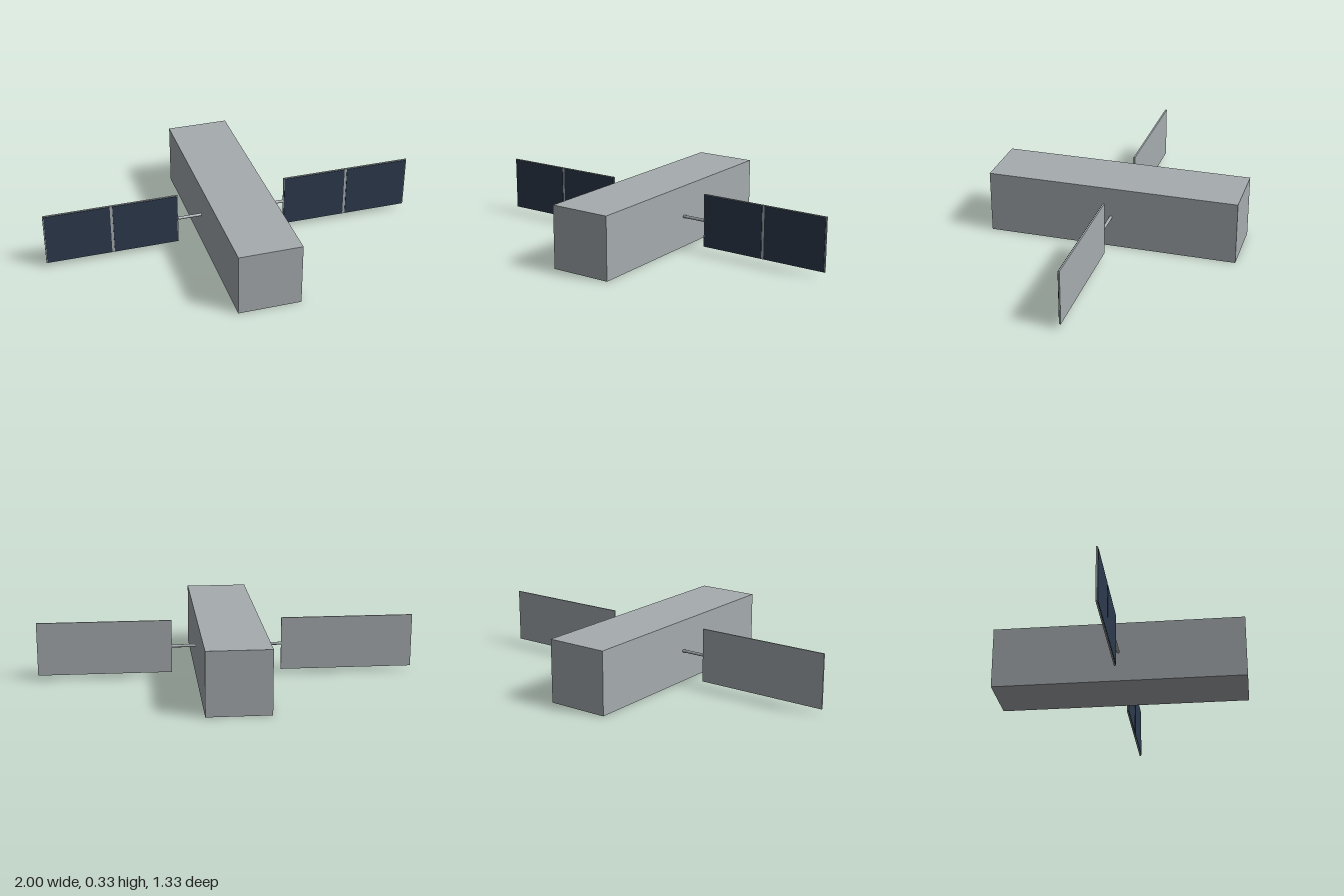
import * as THREE from 'three';

export function createModel() {
  const model = new THREE.Group();
  const hull = new THREE.MeshStandardMaterial({ color: 0xa6acaf });
  hull.name = 'hullGrey';
  const navy = new THREE.MeshStandardMaterial({ color: 0x2c3a4d });
  navy.name = 'cellNavy';

  const midY = 0.167;
  const add = (parent, name, geometry, material, x, y, z) => {
    const mesh = new THREE.Mesh(geometry, material);
    mesh.name = name;
    mesh.position.set(x, y, z);
    parent.add(mesh);
    return mesh;
  };

  // Long box body
  add(model, 'body', new THREE.BoxGeometry(0.33, 0.333, 1.333), hull, 0, 0.1665, 0);

  // One solar wing on each side: boom, backing panel and two cell plates
  for (const side of [1, -1]) {
    const wing = new THREE.Group();
    wing.name = side > 0 ? 'leftSolarWing' : 'rightSolarWing';
    model.add(wing);

    const boom = new THREE.CylinderGeometry(0.008, 0.008, 0.13, 16).rotateZ(Math.PI / 2);
    add(wing, 'boom', boom, hull, side * 0.227, midY, 0);

    add(wing, 'panel', new THREE.BoxGeometry(0.708, 0.285, 0.008), hull, side * 0.646, midY, -0.001);

    for (const offset of [-0.178, 0.178]) {
      add(wing, 'solarCells', new THREE.BoxGeometry(0.342, 0.278, 0.003), navy,
        side * 0.646 + offset, midY, 0.0042);
    }
  }
  return model;
}
